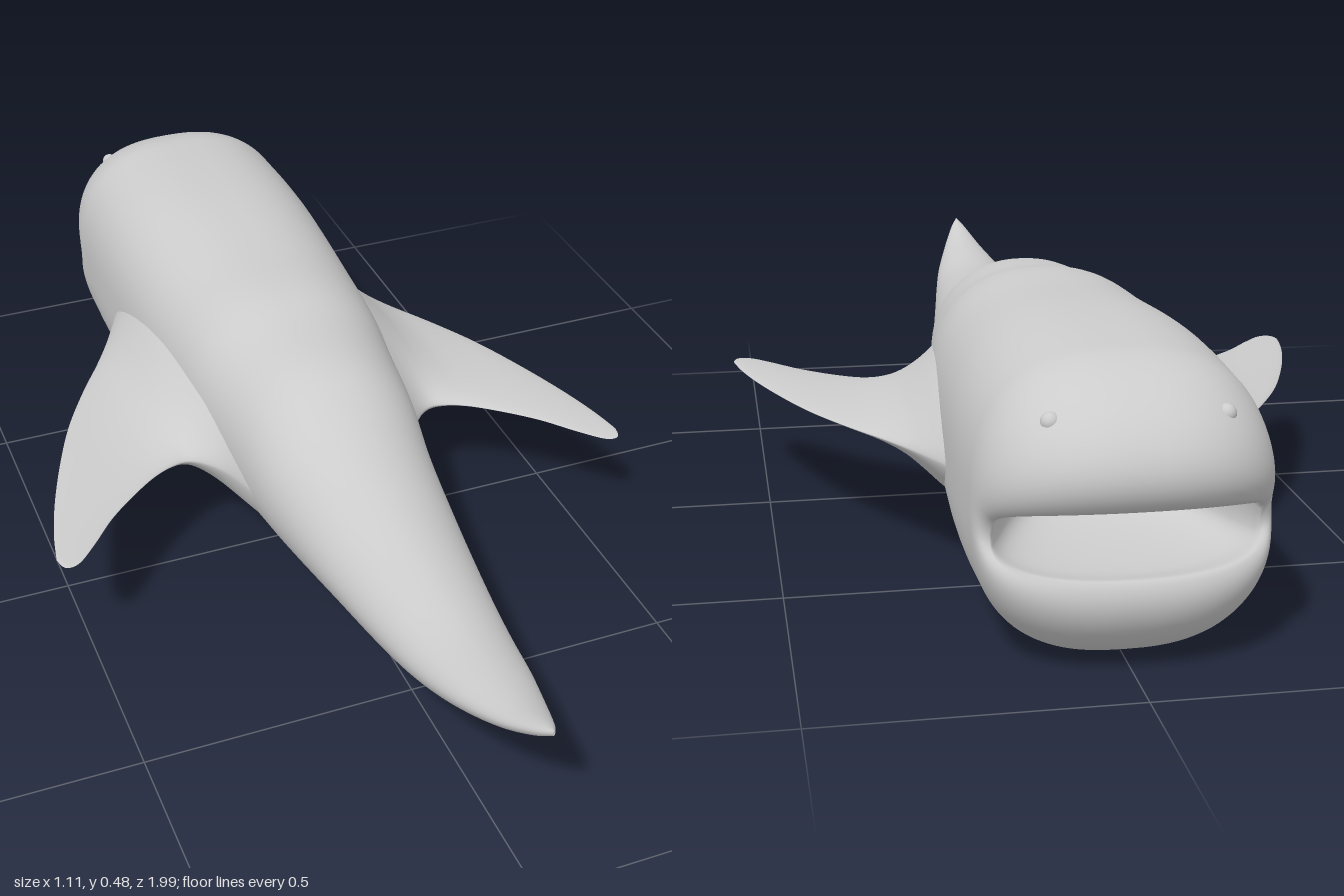
import * as THREE from 'three';

const material = new THREE.MeshStandardMaterial({ color: 0xcccccc, side: THREE.DoubleSide });

// Smooth skin over closed rings that all have the same number of points
function loft(rings) {
  const n = rings[0].length, index = [];
  for (let i = 0; i < rings.length - 1; i++) {
    for (let j = 0; j < n; j++) {
      const a = i * n + j, b = i * n + (j + 1) % n;
      index.push(a, b, a + n, b, b + n, a + n);
    }
  }
  const geometry = new THREE.BufferGeometry().setFromPoints(rings.flat());
  geometry.setIndex(index);
  geometry.computeVertexNormals();
  return geometry;
}

// Resample a short table of [x, y, z] stations into a smooth list
const smooth = (rows, count) =>
  new THREE.CatmullRomCurve3(rows.map(r => new THREE.Vector3(...r)), false, 'centripetal').getPoints(count);

const pow = (v, p) => Math.sign(v) * Math.abs(v) ** p;
const SIDES = 96;
const angles = Array.from({ length: SIDES }, (_, j) => (j / SIDES) * Math.PI * 2);

function bodyGeometry() {
  const v = (x, y, z) => new THREE.Vector3(x, y, z);
  // Stations from tail to head: z, top, bottom, half width
  const stations = [
    [1, 0.362, 0.352, 0.002], [0.97, 0.353, 0.325, 0.018], [0.9, 0.332, 0.278, 0.043],
    [0.8, 0.317, 0.228, 0.07], [0.7, 0.311, 0.187, 0.088], [0.6, 0.318, 0.158, 0.103],
    [0.4, 0.346, 0.125, 0.132], [0.22, 0.388, 0.097, 0.157], [0.1, 0.44, 0.083, 0.175],
    [-0.05, 0.456, 0.067, 0.196], [-0.15, 0.473, 0.055, 0.209], [-0.3, 0.476, 0.034, 0.222],
    [-0.5, 0.487, 0.01, 0.232], [-0.65, 0.487, 0.004, 0.235], [-0.78, 0.482, 0.006, 0.232],
  ];
  const heights = smooth(stations.map(s => [s[0], s[1], s[2]]), 70);
  const widths = new THREE.SplineCurve(stations.map(s => new THREE.Vector2(s[0], s[3]))).getPoints(300);
  const widthAt = z => {
    const k = Math.max(1, widths.findIndex(p => p.x <= z));
    const a = widths[k - 1], b = widths[k];
    return THREE.MathUtils.lerp(a.y, b.y, THREE.MathUtils.clamp((a.x - z) / (a.x - b.x), 0, 1));
  };
  const rings = heights.map(({ x: z, y: top, z: bottom }) => {
    const power = 2 / THREE.MathUtils.clamp(2.2 - 0.7 * z, 1.9, 2.6);
    return angles.map(t => v(
      widthAt(z) * pow(Math.sin(t), power),
      (top + bottom) / 2 + (top - bottom) / 2 * pow(Math.cos(t), power), z));
  });

  // Lips: the upper jaw overhangs the lower, meeting at the mouth corners
  const rim = angles.map(t => {
    const c = Math.cos(t), up = c > 0, k = Math.abs(c);
    return v(0.205 * pow(Math.sin(t), 0.9),
      0.215 + (up ? 0.068 * k ** 0.45 : -0.055 * k ** 0.5),
      -0.84 - (up ? 0.13 : 0.08) * k);
  });
  const neck = rings[rings.length - 1];
  const curves = rim.map((p, j) => {
    const n = neck[j], k = Math.abs(Math.cos(angles[j]));
    return new THREE.CubicBezierCurve3(n,
      v(n.x, n.y, n.z + (p.z - n.z) * 0.62),
      v(p.x * 1.13, p.y + (n.y - p.y) * 0.4, p.z - (p.y > 0.215 ? 0.08 : 0.04) * k), p);
  });
  for (let i = 1; i <= 20; i++) rings.push(curves.map(c => c.getPoint(i / 20)));

  // Mouth cavity narrowing to the throat: depth, width factor, height factor
  const cavity = [[0.06, 0.98, 1.06], [0.2, 0.92, 1.2], [0.45, 0.8, 1.15], [0.75, 0.6, 0.9], [0.95, 0.3, 0.45], [1, 0, 0]];
  for (const [d, w, h] of smooth(cavity, 18).map(p => p.toArray())) {
    rings.push(rim.map(p => v(p.x * w, 0.215 + (p.y - 0.215) * h, THREE.MathUtils.lerp(p.z, -0.6, d))));
  }
  return loft(rings);
}

// Flipper: lens-shaped sections along the span, flaring into the flank
function flipperGeometry(side) {
  // span, leading z, trailing z, half thickness
  const sections = [
    [0.15, -0.64, 0.2, 0.125], [0.19, -0.61, 0.065, 0.115], [0.22, -0.57, 0.02, 0.092],
    [0.25, -0.51, 0, 0.066], [0.28, -0.45, 0.003, 0.043], [0.32, -0.38, 0.022, 0.024],
    [0.37, -0.3, 0.06, 0.014], [0.43, -0.19, 0.115, 0.009], [0.48, -0.07, 0.175, 0.006],
    [0.52, 0.045, 0.217, 0.004], [0.542, 0.125, 0.222, 0.003], [0.551, 0.17, 0.212, 0.002],
    [0.555, 0.193, 0.194, 0],
  ];
  const edge = smooth(sections.map(s => [s[0], s[1], s[2]]), 60);
  const thick = smooth(sections.map(s => [s[0], s[3], 0]), 60);
  const rings = edge.map(({ x, y: lead, z: trail }) => {
    const k = Math.max(1, thick.findIndex(p => p.x >= x - 1e-9));
    const a = thick[k - 1], b = thick[k];
    const half = THREE.MathUtils.lerp(a.y, b.y, THREE.MathUtils.clamp((x - a.x) / (b.x - a.x), 0, 1));
    const ring = angles.map(t => new THREE.Vector3(side * x,
      0.233 + half * pow(Math.sin(t), 1.3),
      (lead + trail) / 2 - (trail - lead) / 2 * Math.cos(t)));
    return side > 0 ? ring : ring.reverse();
  });
  return loft(rings);
}

export function createModel() {
  const model = new THREE.Group();
  model.name = 'seaCreature';
  const add = (name, geometry) => {
    const mesh = new THREE.Mesh(geometry, material);
    mesh.name = name;
    model.add(mesh);
    return mesh;
  };
  add('body', bodyGeometry());
  for (const [name, side] of [['left', 1], ['right', -1]]) {
    add(name + 'Flipper', flipperGeometry(side));
    add(name + 'Eye', new THREE.SphereGeometry(0.015, 20, 14)).position.set(side * 0.13, 0.405, -0.907);
  }
  return model;
}
